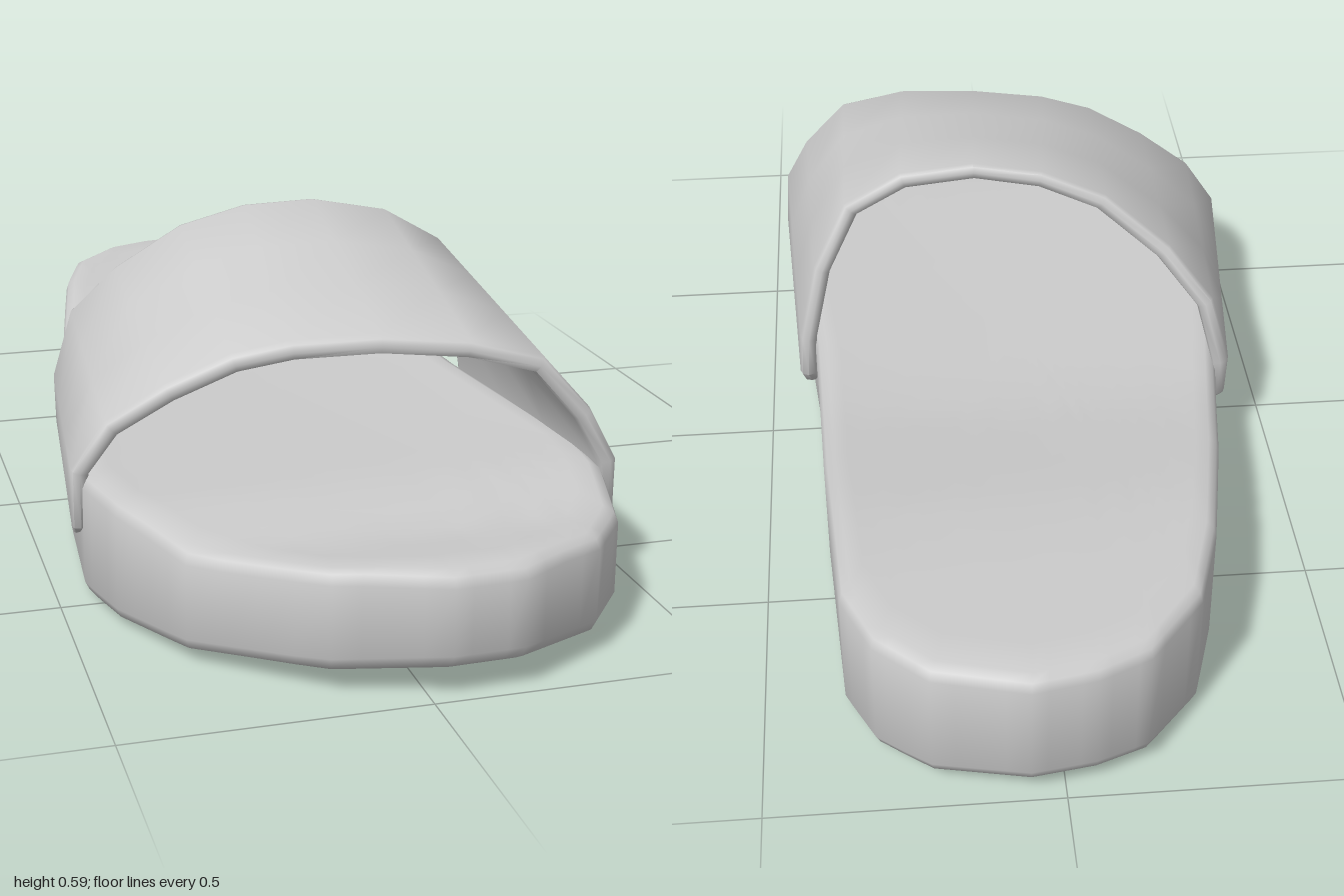
import * as THREE from 'three';
import { toCreasedNormals } from 'three/addons/utils/BufferGeometryUtils.js';

// Linear lookup in a short [position, value] profile
function sample(profile, z) {
  for (let i = 1; i < profile.length; i++) {
    const [z0, y0] = profile[i - 1], [z1, y1] = profile[i];
    if (z <= z1) return y0 + (y1 - y0) * Math.max(0, (z - z0) / (z1 - z0));
  }
  return profile[profile.length - 1][1];
}

function meshFrom(name, positions, index, crease) {
  let g = new THREE.BufferGeometry();
  g.setAttribute('position', new THREE.Float32BufferAttribute(positions, 3));
  g.setIndex(index);
  g = toCreasedNormals(g, crease);
  const mesh = new THREE.Mesh(g, new THREE.MeshStandardMaterial({ color: 0xcccccc }));
  mesh.name = name;
  return mesh;
}

// Sole: plan outline (x, z) swept through rings, with heights that follow z
function createSole() {
  const corners = [
    [0.06, -1], [0.22, -0.96], [0.31, -0.88], [0.36, -0.77], [0.385, -0.4], [0.4, 0],
    [0.43, 0.3], [0.452, 0.5], [0.44, 0.63], [0.4, 0.78], [0.31, 0.905], [0.15, 0.995],
    [0.03, 1], [-0.15, 0.94], [-0.34, 0.77], [-0.42, 0.6], [-0.45, 0.46], [-0.43, 0.2],
    [-0.385, -0.1], [-0.34, -0.4], [-0.29, -0.66], [-0.24, -0.82], [-0.14, -0.94], [-0.05, -0.98],
  ];
  const topY = [[-1, 0.272], [-0.7, 0.272], [-0.55, 0.265], [-0.4, 0.245], [-0.25, 0.225],
    [-0.13, 0.22], [0.6, 0.222], [0.68, 0.212], [0.78, 0.196], [0.88, 0.205], [0.95, 0.214], [1, 0.212]];
  const bottomY = [[-1, 0.042], [-0.92, 0.024], [-0.8, 0.008], [-0.7, 0.002], [0, 0],
    [0.5, 0.002], [0.75, 0.018], [0.9, 0.035], [1, 0.052]];

  const outline = [];
  corners.forEach(([x, z], i) => {
    const [nx, nz] = corners[(i + 1) % corners.length];
    for (let k = 0; k < 4; k++) outline.push([x + (nx - x) * k / 4, z + (nz - z) * k / 4]);
  });

  // Ring: inset from the edge, inward scale, top or bottom surface, vertical offset
  const rings = [];
  for (let k = 0; k < 10; k++) rings.push([0.024, k / 10, bottomY, 0]);
  rings.push([0.024, 1, bottomY, 0], [0.008, 1, bottomY, 0.007], [0, 1, bottomY, 0.024],
    [0, 1, topY, -0.024], [0.007, 1, topY, -0.007], [0.024, 1, topY, 0]);
  for (let k = 14; k >= 0; k--) {
    const s = k / 15;
    rings.push([0.024, s, topY, -0.008 * (1 - s * s)]);
  }

  const pos = [], idx = [], n = outline.length;
  rings.forEach(([inset, s, profile, dy], j) => {
    outline.forEach(([x, z], i) => {
      const pz = z * (1 - inset) * s;
      pos.push(x * (1 - inset / 0.45) * s, sample(profile, pz) + dy, pz);
      if (j === rings.length - 1) return;
      const a = j * n + i, b = j * n + (i + 1) % n, c = a + n, d = b + n;
      if (j > 0) idx.push(a, c, b);
      if (j < rings.length - 2) idx.push(b, c, d);
    });
  });
  return meshFrom('sole', pos, idx, 1.0);
}

// Strap: rounded slab section lofted over an arch between a rear and a front edge
function createStrap() {
  const rear = [
    [-0.4, 0.09, -0.08], [-0.405, 0.13, -0.12], [-0.405, 0.22, -0.135], [-0.37, 0.355, -0.12],
    [-0.29, 0.45, -0.07], [-0.17, 0.54, -0.02], [-0.05, 0.58, 0.01], [0.08, 0.59, 0.035],
    [0.22, 0.565, 0.05], [0.33, 0.5, 0.05], [0.395, 0.37, 0.03], [0.43, 0.22, 0.005],
    [0.435, 0.13, 0.01], [0.43, 0.085, 0.05],
  ].map(p => new THREE.Vector3(...p));
  const front = [
    [-0.457, 0.09, 0.4], [-0.468, 0.12, 0.45], [-0.47, 0.23, 0.465], [-0.41, 0.315, 0.475],
    [-0.31, 0.38, 0.5], [-0.2, 0.432, 0.525], [-0.1, 0.453, 0.545], [0.05, 0.46, 0.57],
    [0.2, 0.45, 0.6], [0.33, 0.415, 0.615], [0.415, 0.32, 0.63], [0.463, 0.23, 0.64],
    [0.47, 0.12, 0.625], [0.465, 0.085, 0.57],
  ].map(p => new THREE.Vector3(...p));

  // Section: [fraction from rear to front, depth below the outer face]
  const section = [[0, 0.016], [0.01, 0.004], [0.03, 0], [0.35, 0], [0.65, 0], [0.97, 0], [0.99, 0.004],
    [1, 0.016], [0.99, 0.029], [0.97, 0.033], [0.65, 0.033], [0.35, 0.033], [0.03, 0.033], [0.01, 0.029]];
  const m = section.length, last = rear.length - 1;
  const pos = [], idx = [];
  const at = (s, v) => rear[s].clone().lerp(front[s], v);

  for (let s = 0; s <= last; s++) {
    section.forEach(([v, depth], k) => {
      const t = at(Math.min(s + 1, last), v).sub(at(Math.max(s - 1, 0), v));
      const normal = new THREE.Vector3(-t.y, t.x, 0).normalize();
      pos.push(...at(s, v).addScaledVector(normal, -depth).toArray());
      if (s === last) return;
      const a = s * m + k, b = s * m + (k + 1) % m, c = a + m, d = b + m;
      idx.push(a, b, c, b, d, c);
    });
  }
  // End caps, zipped across the slab thickness
  const cap = (base, flip) => {
    for (let k = 0; k < m / 2; k++) {
      const a = base + k, b = base + k + 1, c = base + (m - k) % m, d = base + m - k - 1;
      const tris = [[a, b, d], [a, d, c]];
      for (const [p, q, r] of tris) {
        if (p === q || q === r || p === r) continue;
        idx.push(...(flip ? [p, r, q] : [p, q, r]));
      }
    }
  };
  cap(0, true);
  cap(last * m, false);
  return meshFrom('strap', pos, idx, 1.0);
}

export function createModel() {
  const model = new THREE.Group();
  model.name = 'slideSandal';
  model.add(createSole(), createStrap());
  return model;
}
